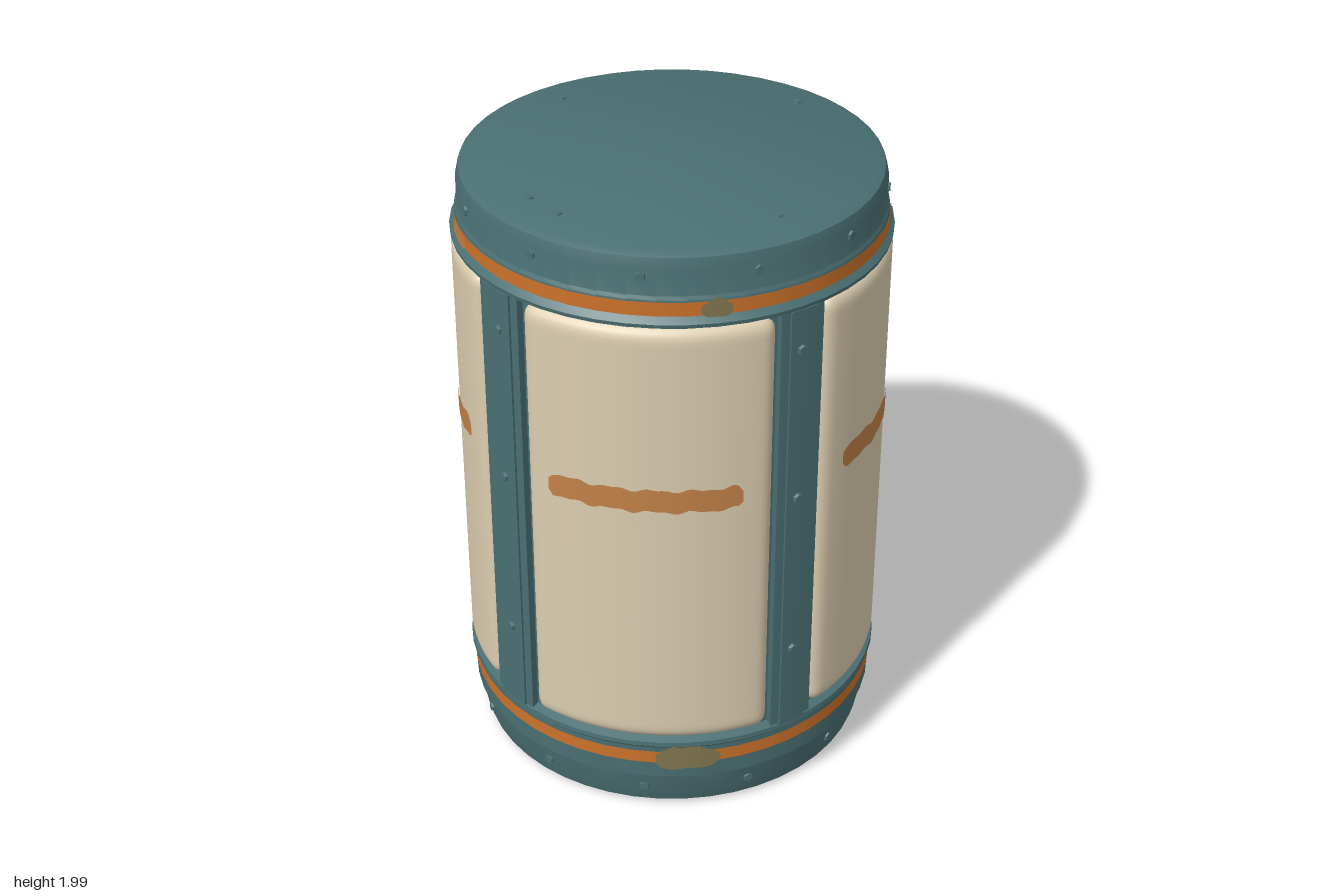
import * as THREE from 'three';
import { toCreasedNormals } from 'three/addons/utils/BufferGeometryUtils.js';

const mat = (name, color) => new THREE.MeshStandardMaterial({ name, color });
const rad = THREE.MathUtils.degToRad;

// Bends a geometry round the barrel: x becomes the angle from +z, z the radius.
function wrap(geo) {
  const p = geo.attributes.position;
  for (let i = 0; i < p.count; i++) {
    const a = p.getX(i), r = p.getZ(i);
    p.setXYZ(i, r * Math.sin(a), p.getY(i), r * Math.cos(a));
  }
  geo.computeVertexNormals();
  return geo;
}

// Pillow-edged panel with rounded corners, spanning angles a0..a1 in degrees.
function panelGeometry(a0, a1, y0, y1) {
  const R = 0.64, w = rad(a1 - a0), h = y1 - y0, mid = rad((a0 + a1) / 2);
  const geo = new THREE.PlaneGeometry(2, 2, 40, 48);
  const p = geo.attributes.position;
  const ease = t => Math.sin(t * Math.PI / 2); // packs vertices near the edges
  for (let i = 0; i < p.count; i++) {
    const u = ease(p.getX(i)) * w / 2, v = ease(p.getY(i)) * h / 2;
    const c = 0.04;
    const qx = Math.abs(u) * R - (w * R / 2 - c), qy = Math.abs(v) - (h / 2 - c);
    const d = c - Math.hypot(Math.max(qx, 0), Math.max(qy, 0)) - Math.min(Math.max(qx, qy), 0);
    const t = Math.min(d / 0.045, 1);
    const r = t < 0 ? 0.615 : 0.632 + 0.035 * Math.sqrt(1 - (1 - t) ** 2);
    p.setXYZ(i, mid + u, (y0 + y1) / 2 + v, r);
  }
  return wrap(geo);
}

// Painted bar with a slightly uneven edge and rounded ends.
function barGeometry(a0, a1, y, height, r) {
  const geo = new THREE.PlaneGeometry(1, 1, 40, 1);
  const p = geo.attributes.position;
  for (let i = 0; i < p.count; i++) {
    const s = p.getX(i), e = Math.min((0.5 - Math.abs(s)) / 0.04, 1);
    const half = height * (0.25 + 0.25 * Math.sqrt(1 - (1 - e) ** 2));
    const wobble = 0.004 * Math.sin(s * 31) + 0.003 * Math.sin(s * 57 + 1);
    p.setXYZ(i, rad((a0 + a1) / 2 + s * (a1 - a0)), y + Math.sign(p.getY(i)) * half + wobble, r);
  }
  return wrap(geo);
}

// Worn blotch: an irregular ellipse wrapped on the band.
function blotchGeometry(a, y, halfAngle, halfHeight, r) {
  const geo = new THREE.RingGeometry(0.001, 1, 24, 4);
  const p = geo.attributes.position;
  for (let i = 0; i < p.count; i++) {
    const x = p.getX(i), v = p.getY(i), t = Math.atan2(v, x);
    const k = 1 + 0.1 * Math.sin(3 * t + a) + 0.06 * Math.sin(5 * t);
    p.setXYZ(i, rad(a + x * k * halfAngle), y + v * k * halfHeight, r);
  }
  return wrap(geo);
}

export function createModel() {
  const group = new THREE.Group();
  const teal = mat('teal metal', 0x4a6f72);
  const cream = mat('cream panel', 0xdccdb0);
  const orange = mat('orange stripe', 0xcc722a);
  const rust = mat('faded orange mark', 0xc28148);
  const olive = mat('olive wear', 0x827750);
  const add = (name, geo, material) => {
    const m = new THREE.Mesh(geo, material);
    m.name = name;
    group.add(m);
    return m;
  };

  // Turned body: base cap, lower band, recessed core, upper band, lid
  const profile = [
    [0, 0.01], [0.60, 0.01], [0.627, 0.025], [0.637, 0.06], [0.65, 0.14], [0.658, 0.145],
    [0.658, 0.262], [0.67, 0.275], [0.668, 0.29], [0.64, 0.3],
    [0.64, 1.77], [0.668, 1.78], [0.67, 1.792], [0.652, 1.81],
    [0.652, 1.86], [0.645, 1.87], [0.645, 1.95], [0.635, 1.985], [0.612, 1.996], [0, 1.996],
  ].map(([x, y]) => new THREE.Vector2(x, y));
  add('body', toCreasedNormals(new THREE.LatheGeometry(profile, 48), rad(35)), teal);

  // Orange stripe on each band
  for (const [name, y, r] of [['lowerStripe', 0.225, 0.661], ['upperStripe', 1.834, 0.656]]) {
    const pts = [new THREE.Vector2(r, y - 0.022), new THREE.Vector2(r, y + 0.022)];
    add(name, new THREE.LatheGeometry(pts, 48), orange);
  }

  // Two unequal panels and two ribs, repeated half a turn round
  for (const turn of [0, 180]) {
    add('narrowPanel', panelGeometry(turn + 8, turn + 76, 0.3, 1.77), cream);
    add('widePanel', panelGeometry(turn + 90.5, turn + 171.5, 0.3, 1.77), cream);
    add('narrowPanelMark', barGeometry(turn + 16, turn + 67, 1.2, 0.075, 0.671), rust);
    add('widePanelMark', barGeometry(turn + 98.7, turn + 163, 1.2, 0.075, 0.671), rust);

    for (const [a, width] of [[turn - 0.4, 15], [turn + 83.2, 13]]) {
      for (const [name, w, r] of [['rib', width, 0.663], ['ribFace', width - 5, 0.67]]) {
        const box = new THREE.BoxGeometry(rad(w), 1.49, 0.04, 6, 1, 1);
        box.translate(rad(a), 1.035, r - 0.02);
        add(name, toCreasedNormals(wrap(box), rad(35)), teal);
      }
    }
  }
  // Short drips under one mark
  for (const [y, h] of [[1.13, 0.05], [1.07, 0.03], [1.0, 0.07]])
    add('drip', barGeometry(140.6, 141.3, y, h, 0.671), rust);

  // Rivets on ribs and end caps
  const rivet = new THREE.CylinderGeometry(0.014, 0.018, 0.016, 6);
  rivet.rotateX(Math.PI / 2);
  const flatRivet = toCreasedNormals(rivet, rad(30));
  const addRivet = (a, y, r) => {
    const m = add('rivet', flatRivet, teal);
    m.position.set(r * Math.sin(rad(a)), y, r * Math.cos(rad(a)));
    m.rotation.y = rad(a);
  };
  for (const a of [0.5, 82.5, 180.5, 262.5])
    for (const y of [0.58, 1.14, 1.65]) addRivet(a, y, 0.672);
  for (let i = 0; i < 12; i++) {
    addRivet(11 + i * 30, 1.93, 0.643);
    addRivet(11 + i * 30, 0.09, 0.64);
  }
  for (const [x, z] of [[0.5, 0.04], [-0.52, 0], [-0.02, -0.53], [-0.05, 0.5], [0.08, 0.5]]) {
    const m = add('lidRivet', flatRivet, teal);
    m.position.set(x, 1.994, z);
    m.rotation.x = -Math.PI / 2;
  }

  // Worn blotches over the stripes
  for (const a of [53, 145, 227])
    add('lowerWear', blotchGeometry(a, 0.226, 9, 0.05, 0.664), olive);
  for (const a of [60, 132])
    add('upperWear', blotchGeometry(a, 1.834, 4, 0.03, 0.659), olive);
  add('upperWear', blotchGeometry(336, 1.832, 7, 0.028, 0.659), rust);

  return group;
}
